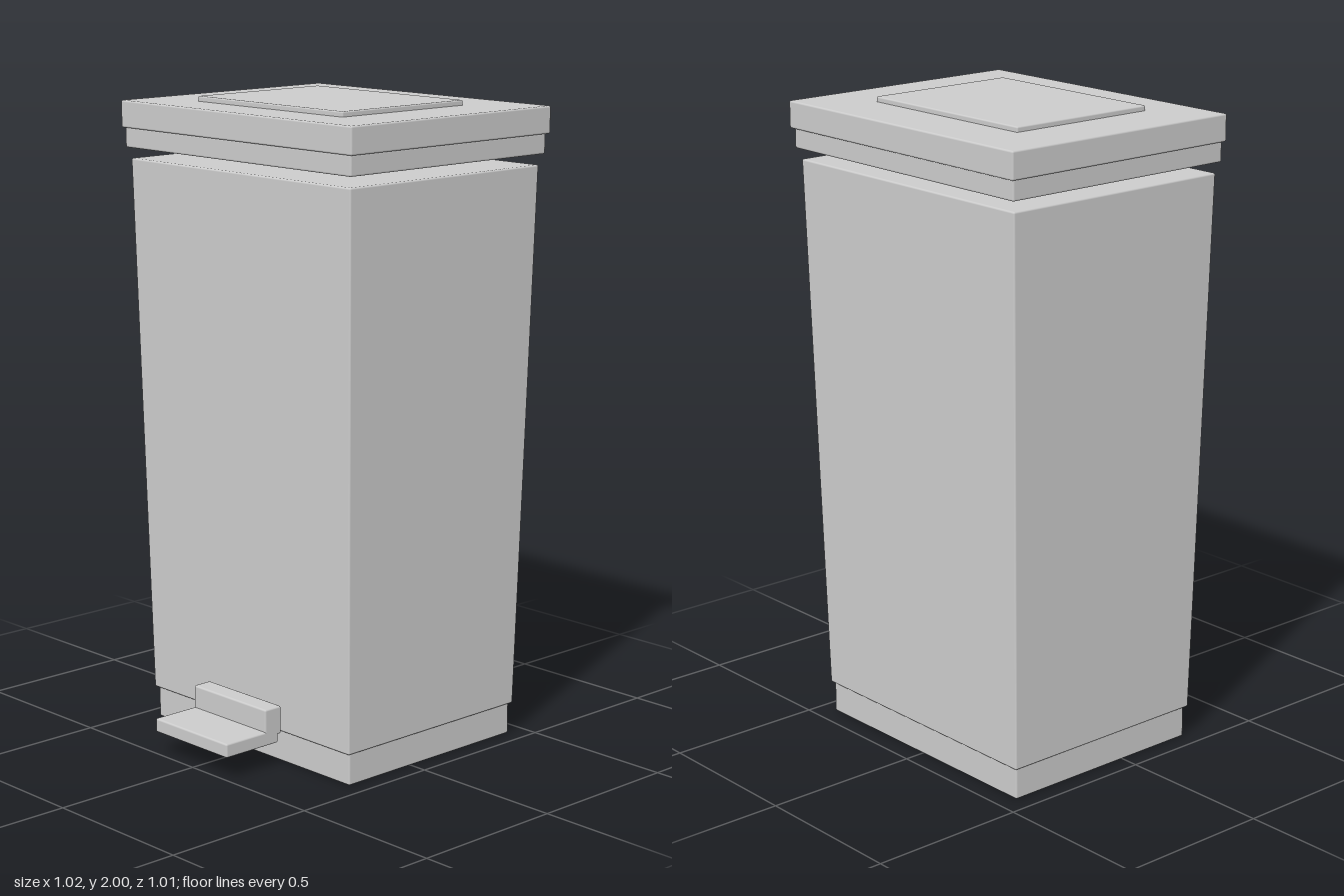
import * as THREE from 'three';
import { RoundedBoxGeometry } from 'three/addons/geometries/RoundedBoxGeometry.js';

const material = new THREE.MeshStandardMaterial({ color: 0xcccccc });

// Box with softly rounded edges, given by its half width and its y and z ranges
function block(name, halfWidth, [y0, y1], [z0, z1], radius = 0.006) {
  const geometry = new RoundedBoxGeometry(2 * halfWidth, y1 - y0, z1 - z0, 2, radius);
  const mesh = new THREE.Mesh(geometry, material);
  mesh.name = name;
  mesh.position.set(0, (y0 + y1) / 2, (z0 + z1) / 2);
  return mesh;
}

// Narrow a block towards its bottom by an equal inset on all four sides
function taper(mesh, inset) {
  const geometry = mesh.geometry;
  geometry.computeBoundingBox();
  const { min, max } = geometry.boundingBox;
  const p = geometry.attributes.position;
  for (let i = 0; i < p.count; i++) {
    const d = inset * (max.y - p.getY(i)) / (max.y - min.y);
    p.setX(i, p.getX(i) * (1 - d / max.x));
    p.setZ(i, p.getZ(i) * (1 - d / max.z));
  }
  return mesh;
}

export function createModel() {
  const bin = new THREE.Group();
  bin.name = 'pedalBin';

  // Plinth and tapered body
  bin.add(block('base', 0.442, [0, 0.102], [-0.437, 0.262]));
  bin.add(taper(block('body', 0.487, [0.1, 1.806], [-0.482, 0.309]), 0.036));

  // Lid, held just above the body
  const lid = new THREE.Group();
  lid.name = 'lid';
  lid.add(
    block('lidRim', 0.5, [1.839, 1.902], [-0.496, 0.32]),
    block('lidTop', 0.51, [1.9, 1.984], [-0.507, 0.328]),
    block('lidPanel', 0.32, [1.978, 2], [-0.323, 0.18], 0.005),
  );
  bin.add(lid);

  // Foot pedal with an upright at the back
  const pedal = new THREE.Group();
  pedal.name = 'pedal';
  pedal.add(
    block('pedalPlate', 0.166, [0.074, 0.118], [0.297, 0.507]),
    block('pedalUpright', 0.166, [0.1, 0.189], [0.285, 0.35]),
  );
  bin.add(pedal);

  return bin;
}
